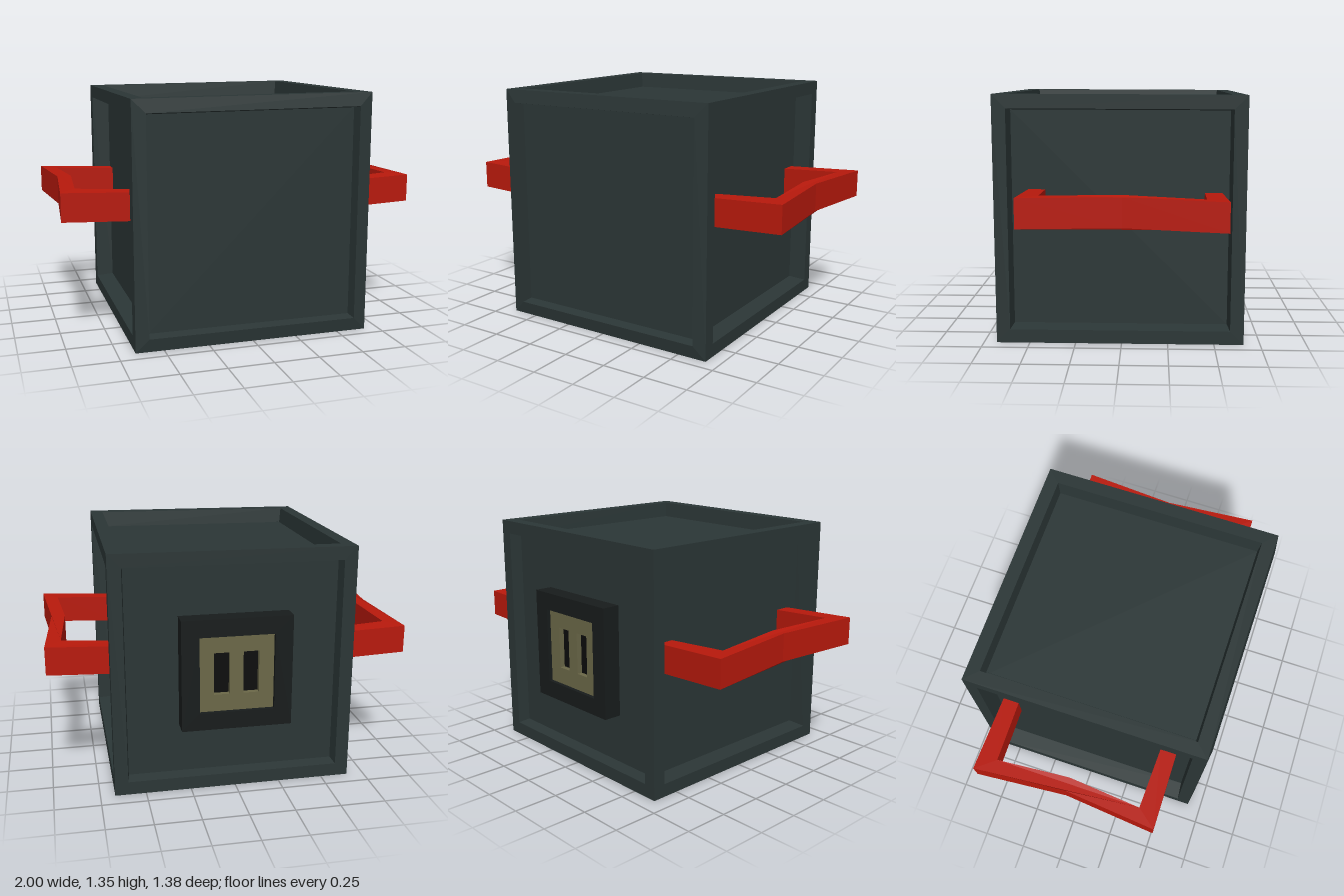
import * as THREE from 'three';

const mat = (color) => new THREE.MeshStandardMaterial({ color, flatShading: true });

function addMesh(parent, name, geometry, material) {
  const mesh = new THREE.Mesh(geometry, material);
  mesh.name = name;
  parent.add(mesh);
  return mesh;
}

// Slightly uneven crate corners, picked by the sign of x, y and z
function corner(sx, sy, sz) {
  const x = sx > 0 ? 0.67 : -0.655;
  const y = sy > 0 ? 1.335 + (sx > 0 ? 0.01 : 0) - (sz < 0 ? 0.005 : 0) : 0;
  const z = sz > 0 ? 0.675 + 0.005 * sx : -0.66;
  return new THREE.Vector3(x, y, z);
}

// One crate side: rim, recess walls and sunken floor, facing along an axis
function recessedSide(axis, sign, depth, lift, inset = 0.055) {
  let u = (axis + 1) % 3;
  let v = (axis + 2) % 3;
  if (sign < 0) [u, v] = [v, u];
  const normal = new THREE.Vector3().setComponent(axis, sign);

  // Point on the side at u, v from -1 to 1, blended from the four corners
  const pointAt = (a, b) => {
    const p = new THREE.Vector3();
    for (const su of [-1, 1]) for (const sv of [-1, 1]) {
      const s = new THREE.Vector3().setComponent(axis, sign).setComponent(u, su).setComponent(v, sv);
      p.addScaledVector(corner(s.x, s.y, s.z), (1 + a * su) * (1 + b * sv) / 4);
    }
    return p;
  };
  const loop = (r, offset) => [0, 1, 2, 3].map((i) => {
    const a = i === 1 || i === 2 ? r : -r;
    return pointAt(a, i > 1 ? r : -r).addScaledVector(normal, offset);
  });
  const outer = loop(1, 0);
  const rim = loop(1 - 2 * inset, lift);
  const floor = loop(1 - 2 * inset - 0.015, lift - depth);

  const pos = [];
  const quad = (a, b, c, d) => [a, b, c, a, c, d].forEach((p) => pos.push(p.x, p.y, p.z));
  for (let i = 0; i < 4; i++) {
    const j = (i + 1) % 4;
    quad(outer[i], outer[j], rim[j], rim[i]);
    quad(rim[i], rim[j], floor[j], floor[i]);
  }
  quad(...floor);
  const g = new THREE.BufferGeometry();
  g.setAttribute('position', new THREE.Float32BufferAttribute(pos, 3));
  g.computeVertexNormals();
  return g;
}

// Pinched handle: half an outline in x and z, mirrored front to back, raised into a sagging bar
function handleGeometry(side) {
  const half = [[0.955, 0], [1, 0.53], [0.56, 0.523], [0.56, 0.43], [0.912, 0.42], [0.878, 0]];
  const back = half.slice(1, -1).reverse().map(([x, z]) => [x, -z]);
  const points = [...half, ...back].map(([x, z]) => new THREE.Vector2(side * x, 0.015 - z));
  const g = new THREE.ExtrudeGeometry(new THREE.Shape(points), { depth: 0.155, bevelEnabled: false });
  g.rotateX(-Math.PI / 2).translate(0, 0.695, 0);
  const p = g.attributes.position;
  for (let i = 0; i < p.count; i++) {
    const sag = (p.getZ(i) < -0.1 ? 0.015 : 0) + (Math.abs(p.getX(i)) < 0.8 ? 0.02 : 0);
    p.setY(i, p.getY(i) - sag);
  }
  g.computeVertexNormals();
  return g;
}

// Upright rectangle centred on x = 0 unless shifted
function rectangle(Type, width, height, x = 0) {
  const w = width / 2;
  const h = height / 2;
  return new Type([[-w, -h], [w, -h], [w, h], [-w, h]].map(([a, b]) => new THREE.Vector2(a + x, b)));
}

export function createModel() {
  const model = new THREE.Group();
  model.name = 'crate';
  const bodyMat = mat(0x2b3636);
  const redMat = mat(0xb8190c);

  // Crate body: name, axis, direction, recess depth, rim lift
  const body = new THREE.Group();
  body.name = 'body';
  model.add(body);
  const sides = [
    ['leftSide', 0, 1, 0.1, 0],
    ['rightSide', 0, -1, 0.1, 0],
    ['topSide', 1, 1, 0.09, 0],
    ['bottomSide', 1, -1, 0.07, 0],
    ['frontSide', 2, 1, 0.06, 0.012],
    ['backSide', 2, -1, 0.07, 0],
  ];
  for (const [name, ...args] of sides) addMesh(body, name, recessedSide(...args), bodyMat);

  // Side handles, run into the recessed panels
  addMesh(model, 'leftHandle', handleGeometry(1), redMat);
  addMesh(model, 'rightHandle', handleGeometry(-1), redMat);

  // Socket on the back: raised frame, slotted plate, dark backing
  const socket = new THREE.Group();
  socket.name = 'socket';
  socket.position.set(0, 0.67, -0.692);
  model.add(socket);
  const frame = rectangle(THREE.Shape, 0.605, 0.62);
  frame.holes.push(rectangle(THREE.Path, 0.41, 0.425));
  addMesh(socket, 'socketFrame',
    new THREE.ExtrudeGeometry(frame, { depth: 0.11, bevelEnabled: false }), mat(0x181c1c));
  const plate = rectangle(THREE.Shape, 0.41, 0.425);
  for (const s of [-1, 1]) plate.holes.push(rectangle(THREE.Path, 0.086, 0.235, s * 0.08));
  addMesh(socket, 'socketPlate',
    new THREE.ExtrudeGeometry(plate, { depth: 0.03, bevelEnabled: false }), mat(0x6b6848)).position.z = 0.022;
  addMesh(socket, 'slotBacking', new THREE.BoxGeometry(0.4, 0.4, 0.04), mat(0x0c0c0c)).position.z = 0.072;

  return model;
}
